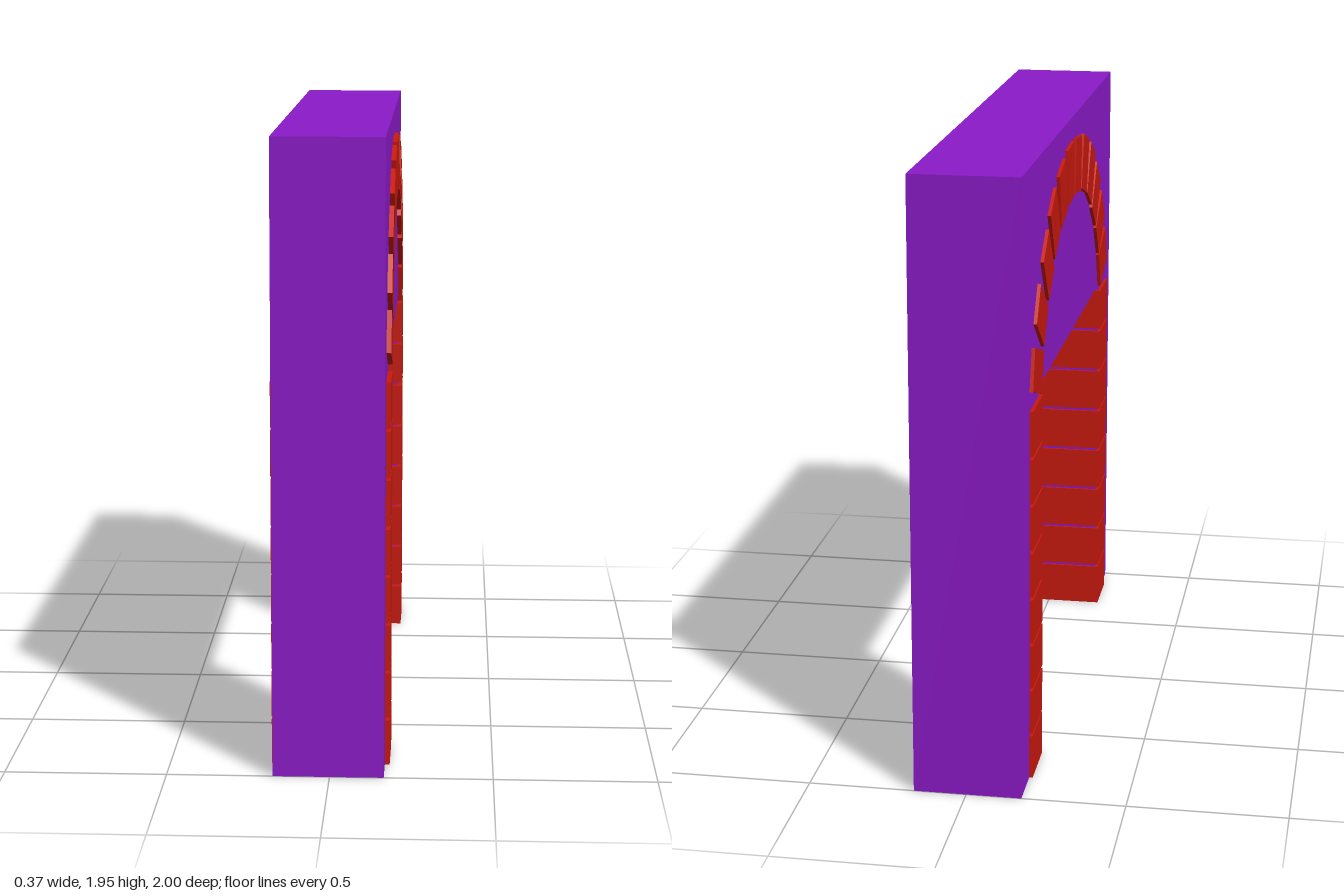
import * as THREE from 'three';

const purple = new THREE.MeshStandardMaterial({ color: 0x8b1ac8, side: THREE.DoubleSide });
const red = new THREE.MeshStandardMaterial({ color: 0xc8190e });

const DEPTH = 0.34, BRICK_DEPTH = 0.366;

// Hollow wall: the underside over the doorway is left open
function wallGeometry() {
  const outline = [[-1, 0], [-0.695, 0], [-0.695, 1.225], [0.68, 1.235], [0.68, 0], [1, 0], [1, 1.953], [-1, 1.953]];
  const shape = new THREE.Shape(outline.map(([u, y]) => new THREE.Vector2(u, y)));
  const solid = new THREE.ExtrudeGeometry(shape, { depth: DEPTH, bevelEnabled: false });
  solid.rotateY(Math.PI / 2).translate(-DEPTH / 2 - 0.004, 0, 0);
  const p = solid.attributes.position;
  const kept = [];
  for (let i = 0; i < p.count; i += 3) {
    const inSoffit = [0, 1, 2].every((k) => Math.abs(p.getY(i + k) - 1.23) < 0.02);
    if (!inSoffit) for (let k = 0; k < 3; k++) kept.push(p.getX(i + k), p.getY(i + k), p.getZ(i + k));
  }
  const geo = new THREE.BufferGeometry();
  geo.setAttribute('position', new THREE.Float32BufferAttribute(kept, 3));
  geo.computeVertexNormals();
  return geo;
}

function brick(name, height, width, y, z, angle = 0) {
  const mesh = new THREE.Mesh(new THREE.BoxGeometry(BRICK_DEPTH, height, width), red);
  mesh.name = name;
  mesh.position.set(-0.002, y, z);
  mesh.rotation.x = angle;
  return mesh;
}

export function createModel() {
  const model = new THREE.Group();
  model.name = 'brickArchway';

  const wall = new THREE.Mesh(wallGeometry(), purple);
  wall.name = 'wall';
  model.add(wall);

  // Brick columns lining both sides of the doorway
  for (const [name, z] of [['frontColumn', 0.783], ['backColumn', -0.752]]) {
    const column = new THREE.Group();
    column.name = name;
    for (let i = 0; i < 8; i++) column.add(brick('columnBrick', 0.142, 0.192, 0.071 + i * 0.152, z));
    model.add(column);
  }

  // Hand-laid arch bricks: z, y, tilt in degrees
  const arch = new THREE.Group();
  arch.name = 'arch';
  const layout = [
    [0.749, 1.321, 69], [0.671, 1.465, 55], [0.556, 1.591, 40], [0.422, 1.69, 30],
    [0.267, 1.754, 17], [0.102, 1.781, 6], [-0.064, 1.783, -4], [-0.235, 1.751, -15],
    [-0.404, 1.69, -30], [-0.54, 1.588, -37], [-0.666, 1.46, -54], [-0.743, 1.305, -73],
  ];
  for (const [z, y, deg] of layout) {
    arch.add(brick('archBrick', 0.184, 0.133, y, z, THREE.MathUtils.degToRad(deg)));
  }
  model.add(arch);
  return model;
}
